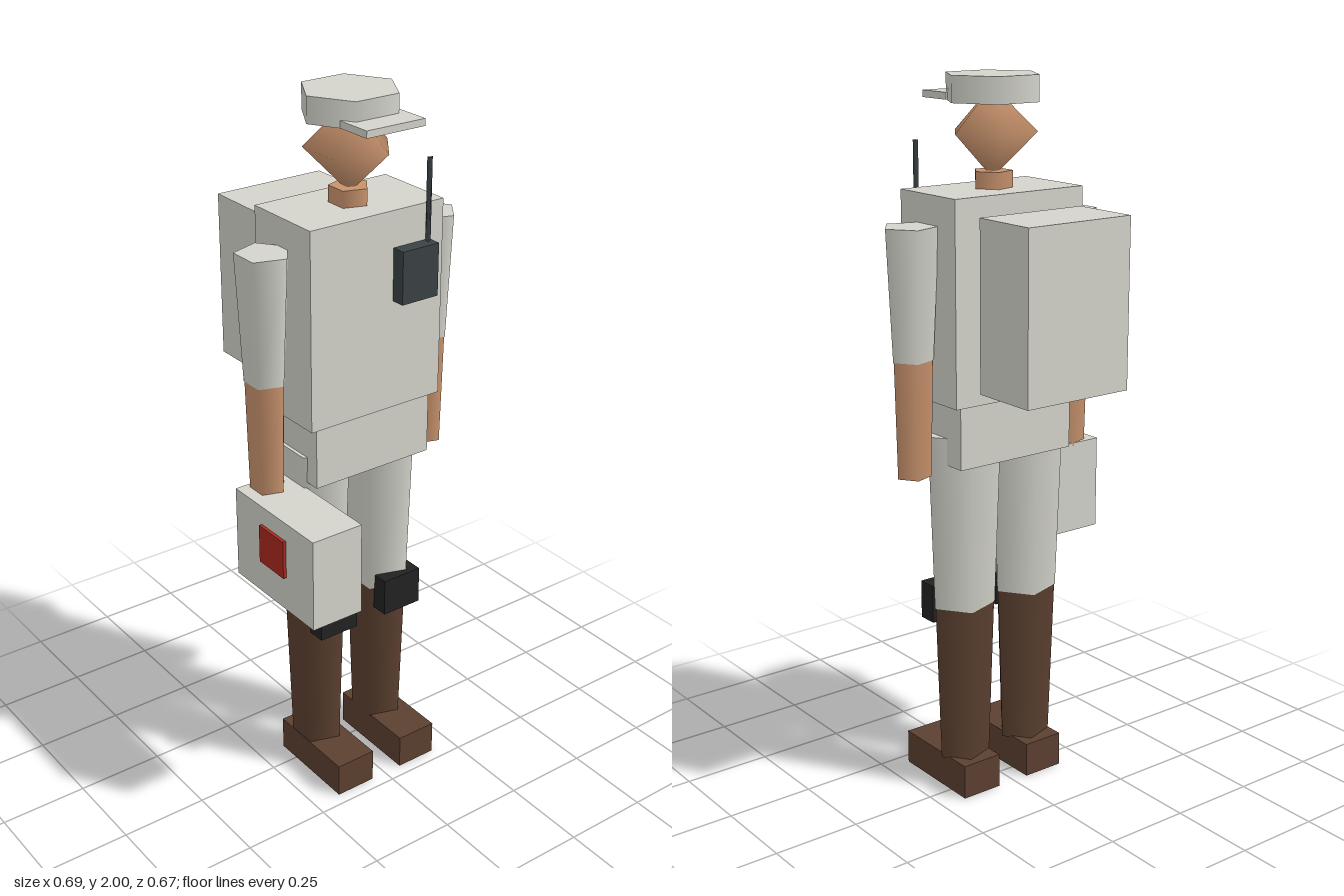
import * as THREE from 'three';

const mat = (name, color) => Object.assign(new THREE.MeshStandardMaterial({ color }), { name });

export function createModel() {
  const cloth = mat('paleCloth', 0xd4d4cc);
  const skin = mat('skin', 0xc8926c);
  const leather = mat('brownLeather', 0x5c4030);
  const radioGrey = mat('radioGrey', 0x3a4244);
  const rubber = mat('blackRubber', 0x222222);
  const red = mat('red', 0xaa2820);

  const group = new THREE.Group();
  const CX = 0.004, CZ = 0.027; // body axis

  const add = (name, geometry, material) => {
    const mesh = new THREE.Mesh(geometry, material);
    mesh.name = name;
    group.add(mesh);
    return mesh;
  };
  // Box from its minimum and maximum corners
  const box = (name, material, x0, x1, y0, y1, z0, z1) =>
    add(name, new THREE.BoxGeometry(x1 - x0, y1 - y0, z1 - z0), material)
      .position.set((x0 + x1) / 2, (y0 + y1) / 2, (z0 + z1) / 2);
  // Tapered prism with one corner pointing to +x
  const prism = (name, material, x, z, y0, y1, rBottom, rTop, sides = 5) =>
    add(name, new THREE.CylinderGeometry(rTop, rBottom, y1 - y0, sides, 1, false, Math.PI / 2), material)
      .position.set(x, (y0 + y1) / 2, z);

  // Trunk
  box('torso', cloth, -0.205, 0.215, 1.155, 1.705, -0.095, 0.147);
  box('hips', cloth, -0.183, 0.19, 0.98, 1.155, -0.079, 0.137);
  box('backpack', cloth, -0.161, 0.171, 1.2, 1.66, -0.338, -0.14);

  // Head and cap
  prism('neck', skin, CX, CZ, 1.69, 1.75, 0.055, 0.055);
  const head = add('head', new THREE.SphereGeometry(0.12, 5, 2), skin);
  head.position.set(CX, 1.85, CZ);
  head.rotation.y = Math.PI;
  prism('cap', cloth, CX, CZ, 1.93, 2.0, 0.132, 0.132, 6);
  box('capVisor', cloth, -0.085, 0.094, 1.931, 1.95, 0.108, 0.214);

  // Limbs, one set per side
  for (const [side, s] of [['left', 1], ['right', -1]]) {
    const armX = CX + s * 0.267, legX = CX + s * 0.109, footX = CX + s * 0.111;
    prism(side + 'Sleeve', cloth, armX, CZ, 1.275, 1.627, 0.058, 0.075);
    prism(side + 'Forearm', skin, armX, CZ, 0.955, 1.275, 0.049, 0.056);
    prism(side + 'TrouserLeg', cloth, legX, CZ, 0.555, 1.055, 0.092, 0.109);
    prism(side + 'Boot', leather, legX, CZ, 0.095, 0.555, 0.075, 0.09);
    box(side + 'Shoe', leather, footX - 0.061, footX + 0.061, 0, 0.1, -0.068, 0.214);
    box(side + 'KneePad', rubber, footX - 0.062, footX + 0.062, 0.49, 0.6, 0.077, 0.133);
  }

  // Chest radio
  box('radio', radioGrey, 0.055, 0.171, 1.46, 1.605, 0.14, 0.187);
  prism('antenna', radioGrey, 0.157, 0.16, 1.6, 1.828, 0.008, 0.008, 3);

  // Carried case with a red plate
  box('case', cloth, -0.338, -0.184, 0.7, 0.963, -0.018, 0.335);
  box('casePlate', red, -0.3475, -0.338, 0.8, 0.91, 0.104, 0.214);

  return group;
}
